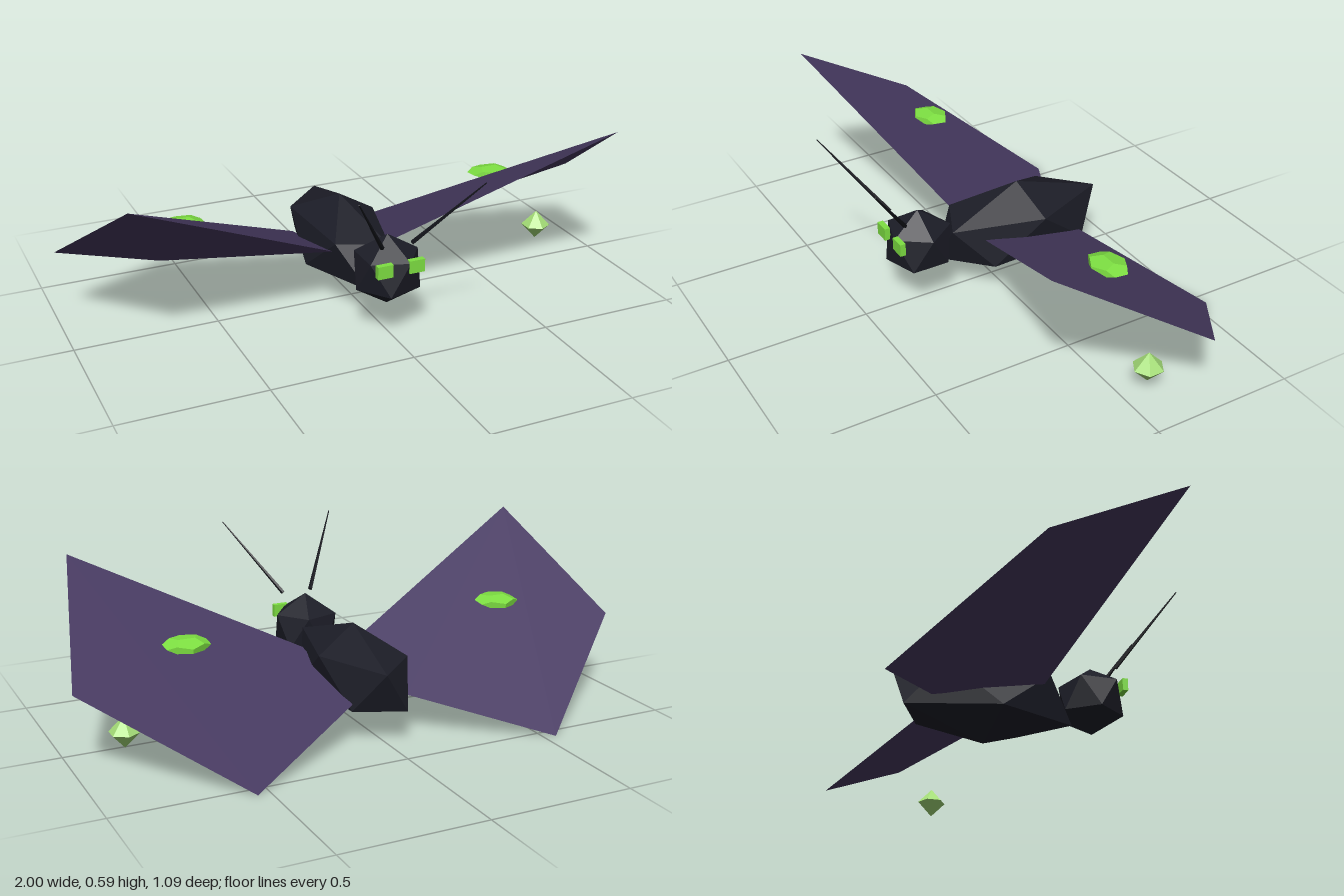
import * as THREE from 'three';
import { ConvexGeometry } from 'three/addons/geometries/ConvexGeometry.js';

const mat = (name, color, side = THREE.FrontSide) => {
  const m = new THREE.MeshStandardMaterial({ color, side, flatShading: true });
  m.name = name;
  return m;
};

// Twenty-sided ball standing on a corner, with two staggered rings of five
function icoBall() {
  const pts = [new THREE.Vector3(0, 1, 0), new THREE.Vector3(0, -1, 0)];
  const r = 2 / Math.sqrt(5), h = 1 / Math.sqrt(5);
  for (let i = 0; i < 5; i++) {
    const a = (i * Math.PI * 2) / 5;
    pts.push(new THREE.Vector3(r * Math.cos(a), h, r * Math.sin(a)));
    pts.push(new THREE.Vector3(-r * Math.cos(a), -h, r * Math.sin(a)));
  }
  return new ConvexGeometry(pts);
}

// Five-cornered wing: a flat outer panel over a wedge that thins out to the edges,
// all drawn with one shared normal
function wingGeometry(side) {
  const corners = [
    [0.105, 0.223, 0.085], [0.865, 0.591, 0.317], [1, 0.275, -0.187],
    [0.543, 0, -0.547], [0.1, 0.14, -0.305],
  ].map(([x, y, z]) => new THREE.Vector3(side * x, y, z));
  const top = [[0, 1, 4], [1, 3, 4], [1, 2, 3]];
  const underside = [[0, 1, 3], [0, 3, 4]];
  const pos = [], sum = new THREE.Vector3();
  for (const t of [...top, ...underside]) {
    const [a, b, c] = (side > 0 ? t : [...t].reverse()).map((i) => corners[i]);
    sum.add(b.clone().sub(a).cross(c.clone().sub(a)));
    for (const p of [a, b, c]) pos.push(p.x, p.y, p.z);
  }
  sum.normalize();
  const g = new THREE.BufferGeometry();
  g.setAttribute('position', new THREE.Float32BufferAttribute(pos, 3));
  const normals = Array.from({ length: pos.length / 3 }, () => sum.toArray()).flat();
  g.setAttribute('normal', new THREE.Float32BufferAttribute(normals, 3));
  return g;
}

export function createModel() {
  const model = new THREE.Group();
  model.name = 'moth';
  const shell = mat('dark shell', 0x1c1d27);
  const feeler = mat('antenna black', 0x15161c);
  const purple = mat('wing purple', 0x483b62, THREE.DoubleSide);
  purple.flatShading = false;
  const green = mat('bright green', 0x7ee042);
  const pale = mat('gem green', 0xa5de78);

  const add = (name, geometry, material, position, scale) => {
    const m = new THREE.Mesh(geometry, material);
    m.name = name;
    if (position) m.position.set(...position);
    if (scale) m.scale.set(...scale);
    model.add(m);
    return m;
  };

  // Body, its facets turned slightly, and head
  add('body', icoBall().rotateY(0.1), shell, [0, 0.188, -0.102], [0.162, 0.162, 0.353]);
  add('head', icoBall(), shell, [0, 0.229, 0.29], [0.126, 0.126, 0.126]);

  for (const [side, label] of [[1, 'left'], [-1, 'right']]) {
    // Wing with a thin faceted spot lying over it, its rear edge a little lower
    add(label + 'Wing', wingGeometry(side), purple);
    const spot = add(label + 'WingSpot', new THREE.DodecahedronGeometry(1), green, [side * 0.59, 0.35, -0.078], [0.081, 0.0205, 0.069]);
    spot.rotation.x = -0.1;

    // Eye, a shallow block on the face
    add(label + 'Eye', new THREE.BoxGeometry(0.055, 0.045, 0.02), green, [side * 0.057, 0.273, 0.39]);

    // Antenna, tapering towards its tip
    const base = new THREE.Vector3(side * 0.055, 0.345, 0.365);
    const tip = new THREE.Vector3(side * 0.218, 0.592, 0.543);
    const dir = tip.clone().sub(base);
    const antenna = add(label + 'Antenna', new THREE.CylinderGeometry(0.002, 0.008, dir.length(), 5), feeler);
    antenna.position.copy(base).add(tip).multiplyScalar(0.5);
    antenna.quaternion.setFromUnitVectors(new THREE.Vector3(0, 1, 0), dir.normalize());
  }

  // Six-sided gem floating beside the left wing
  const gem = add('floatingGem', new THREE.SphereGeometry(1, 6, 2), pale, [0.815, 0.09, -0.09], [0.053, 0.055, 0.053]);
  gem.rotation.y = Math.PI / 2;

  return model;
}
